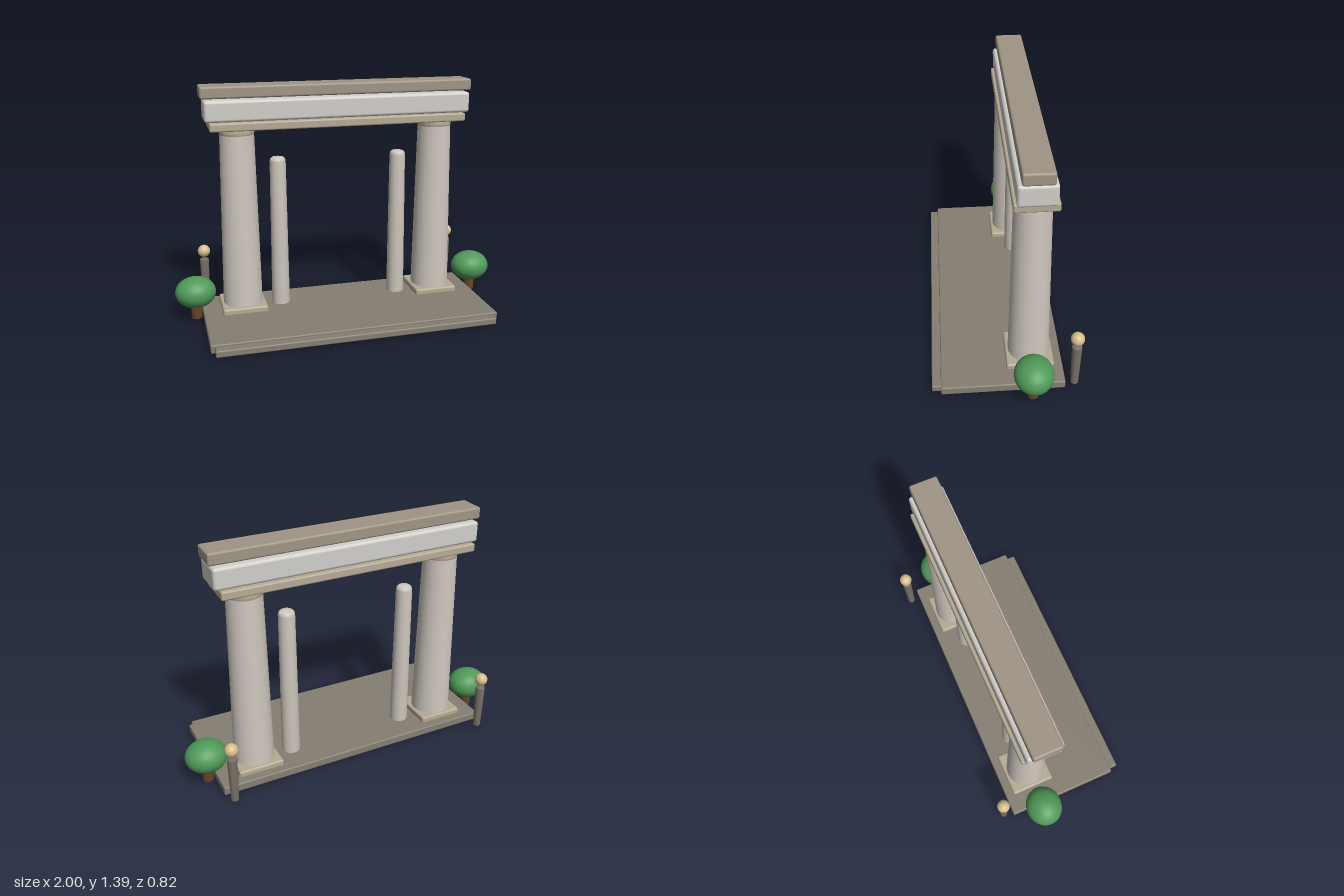
import * as THREE from 'three';
import { RoundedBoxGeometry } from 'three/addons/geometries/RoundedBoxGeometry.js';

const AXIS_Z = -0.14; // line on which columns and beams stand

const mat = (color) => new THREE.MeshStandardMaterial({ color });
const paleStone = mat(0xcfc8be);
const beamStone = mat(0xd2cfca);
const trimStone = mat(0xb5aa94);
const capStone = mat(0x9f9585);
const paving = mat(0x857e72);
const post = mat(0x777067);
const lampCream = mat(0xd9bf8a);
const leaf = mat(0x4f9a59);
const bark = mat(0x6b4526);

function add(parent, name, geometry, material, x, y, z) {
  const mesh = new THREE.Mesh(geometry, material);
  mesh.name = name;
  mesh.position.set(x, y, z);
  parent.add(mesh);
  return mesh;
}

// Softened block from its lower and upper limits
function block(parent, name, material, [x0, x1], [y0, y1], [z0, z1], radius) {
  const geometry = new RoundedBoxGeometry(x1 - x0, y1 - y0, z1 - z0, 3, radius);
  return add(parent, name, geometry, material, (x0 + x1) / 2, (y0 + y1) / 2, (z0 + z1) / 2);
}

// Turned part from [radius, height] pairs
function turned(parent, name, material, profile, x, z) {
  const points = profile.map(([r, y]) => new THREE.Vector2(r, y));
  return add(parent, name, new THREE.LatheGeometry(points, 40), material, x, 0, z);
}

function mainColumn(x) {
  const g = new THREE.Group();
  g.name = 'mainColumn';
  block(g, 'plinth', trimStone, [x - 0.133, x + 0.133], [0.045, 0.087], [AXIS_Z - 0.133, AXIS_Z + 0.133], 0.012);
  add(g, 'shaft', new THREE.CylinderGeometry(0.099, 0.117, 1.03, 48), paleStone, x, 0.595, AXIS_Z);
  turned(g, 'capital', trimStone,
    [[0, 1.1], [0.094, 1.1], [0.1, 1.108], [0.101, 1.13], [0.096, 1.142], [0, 1.142]], x, AXIS_Z);
  return g;
}

function tree(x) {
  const g = new THREE.Group();
  g.name = 'tree';
  add(g, 'trunk', new THREE.CylinderGeometry(0.036, 0.031, 0.1, 24), bark, x, 0.055, AXIS_Z);
  add(g, 'foliage', new THREE.SphereGeometry(1, 40, 24), leaf, x, 0.167, AXIS_Z).scale.set(0.12, 0.093, 0.109);
  return g;
}

function lampPost(x) {
  const g = new THREE.Group();
  g.name = 'lampPost';
  turned(g, 'post', post,
    [[0, 0.005], [0.02, 0.005], [0.022, 0.012], [0.028, 0.276], [0.025, 0.286], [0, 0.287]], x, -0.377);
  add(g, 'lampGlobe', new THREE.SphereGeometry(0.038, 32, 20), lampCream, x, 0.337, -0.377);
  return g;
}

export function createModel() {
  const model = new THREE.Group();
  model.name = 'gateway';

  // Paved base with one front step
  block(model, 'base', paving, [-0.843, 0.843], [0.003, 0.053], [-0.322, 0.36], 0.008);
  block(model, 'frontStep', paving, [-0.82, 0.815], [0, 0.04], [0.3, 0.41], 0.008);

  // Stacked beams across the top
  block(model, 'lowerBeam', trimStone, [-0.76, 0.755], [1.138, 1.187], [-0.256, -0.026], 0.01);
  block(model, 'middleBeam', beamStone, [-0.785, 0.785], [1.188, 1.31], [-0.24, -0.04], 0.018);
  block(model, 'topBeam', capStone, [-0.803, 0.8], [1.317, 1.386], [-0.22, -0.06], 0.012);

  // Paired parts on both sides
  for (const side of [-1, 1]) {
    model.add(mainColumn(side * 0.6));
    turned(model, 'innerColumn', paleStone,
      [[0, 0.045], [0.054, 0.045], [0.047, 0.935], [0.043, 0.95], [0.034, 0.958], [0, 0.96]], side * 0.368, AXIS_Z);
    model.add(tree(side * 0.88));
    model.add(lampPost(side * 0.804));
  }
  return model;
}
